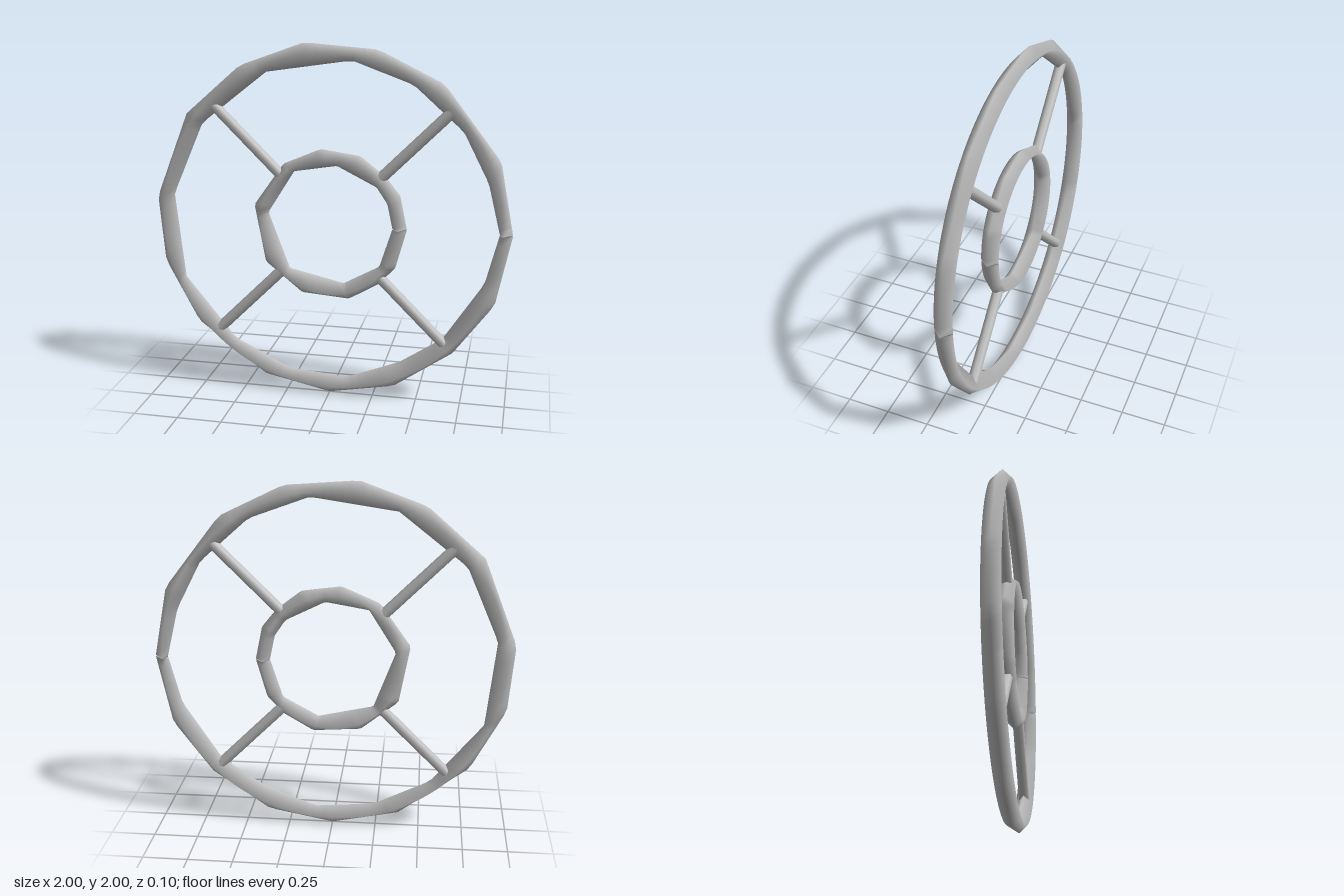
import * as THREE from 'three';

// Radius of a polygon outline (points ordered by angle, first at angle 0) in direction t
function outlineRadius(points, t) {
  const n = points.length;
  const dx = Math.cos(t), dy = Math.sin(t);
  for (let i = 0; i < n; i++) {
    const [ax, ay] = points[i], [bx, by] = points[(i + 1) % n];
    const from = dx * ay - dy * ax, to = dx * by - dy * bx;
    if (from <= 1e-9 && to > 0 && dx * (ax + bx) + dy * (ay + by) > 0) {
      return (ax * by - ay * bx) / (dx * (by - ay) - dy * (bx - ax));
    }
  }
  return Math.hypot(points[0][0], points[0][1]);
}

// Ring with a four-sided section, swept between an outer and an inner outline
function ringGeometry(outer, inner, middle, depth, gap) {
  const steps = 128, pos = [], index = [];
  for (let i = 0; i <= steps; i++) {
    const t = gap + (i / steps) * (Math.PI * 2 - gap * 2);
    const section = [
      [outlineRadius(outer, t), 0], [middle, depth],
      [outlineRadius(inner, t), 0], [middle, -depth],
    ];
    for (const [r, z] of section) pos.push(r * Math.cos(t), r * Math.sin(t), z);
  }
  for (let i = 0; i < steps; i++) {
    for (let j = 0; j < 4; j++) {
      const a = i * 4 + j, b = i * 4 + (j + 1) % 4;
      index.push(a, a + 4, b, b, a + 4, b + 4);
    }
  }
  const g = new THREE.BufferGeometry();
  g.setAttribute('position', new THREE.Float32BufferAttribute(pos, 3));
  g.setIndex(index);
  g.computeVertexNormals();
  return g;
}

export function createModel() {
  const model = new THREE.Group();
  model.name = 'spokedWheel';
  const metal = new THREE.MeshStandardMaterial({ color: 0xc0c0c0, side: THREE.DoubleSide });
  metal.name = 'greyMetal';

  // Rings: uneven faceted outlines around the hub centre
  const rings = {
    outerRing: ringGeometry(
      [[1, 0], [0.92, 0.4], [0.61, 0.8], [0.26, 0.97], [-0.14, 1], [-0.5, 0.87], [-0.81, 0.6], [-1, 0.12],
        [-0.97, -0.26], [-0.78, -0.62], [-0.38, -0.92], [0, -1], [0.37, -0.93], [0.7, -0.7], [0.92, -0.4]],
      [[0.93, 0], [0.86, 0.28], [0.72, 0.55], [0.45, 0.79], [0.12, 0.91], [-0.35, 0.84], [-0.72, 0.55], [-0.9, 0.14],
        [-0.85, -0.35], [-0.56, -0.71], [-0.24, -0.87], [0.1, -0.9], [0.4, -0.78], [0.64, -0.62], [0.86, -0.28]],
      0.95, 0.05, 0.003),
    innerRing: ringGeometry(
      [[0.43, 0], [0.39, 0.19], [0.31, 0.29], [0.17, 0.4], [-0.05, 0.43], [-0.26, 0.34], [-0.43, 0.1],
        [-0.37, -0.23], [-0.16, -0.4], [0.11, -0.42], [0.28, -0.32], [0.37, -0.22]],
      [[0.35, 0], [0.32, 0.14], [0.26, 0.23], [0.04, 0.34], [-0.2, 0.3], [-0.35, 0.06],
        [-0.23, -0.26], [0.08, -0.33], [0.28, -0.22]],
      0.385, 0.05, 0.005),
  };
  for (const [name, geometry] of Object.entries(rings)) {
    const ring = new THREE.Mesh(geometry, metal);
    ring.name = name;
    ring.position.y = 1;
    model.add(ring);
  }

  // Four diagonal spokes joining the rings
  const start = 0.38, end = 0.925;
  const spokeGeometry = new THREE.CylinderGeometry(0.031, 0.031, end - start, 8);
  spokeGeometry.translate(0, (start + end) / 2, 0);
  for (let i = 0; i < 4; i++) {
    const spoke = new THREE.Mesh(spokeGeometry, metal);
    spoke.name = 'spoke' + (i + 1);
    spoke.position.y = 1;
    spoke.rotation.z = Math.PI / 4 + i * Math.PI / 2;
    model.add(spoke);
  }
  return model;
}
